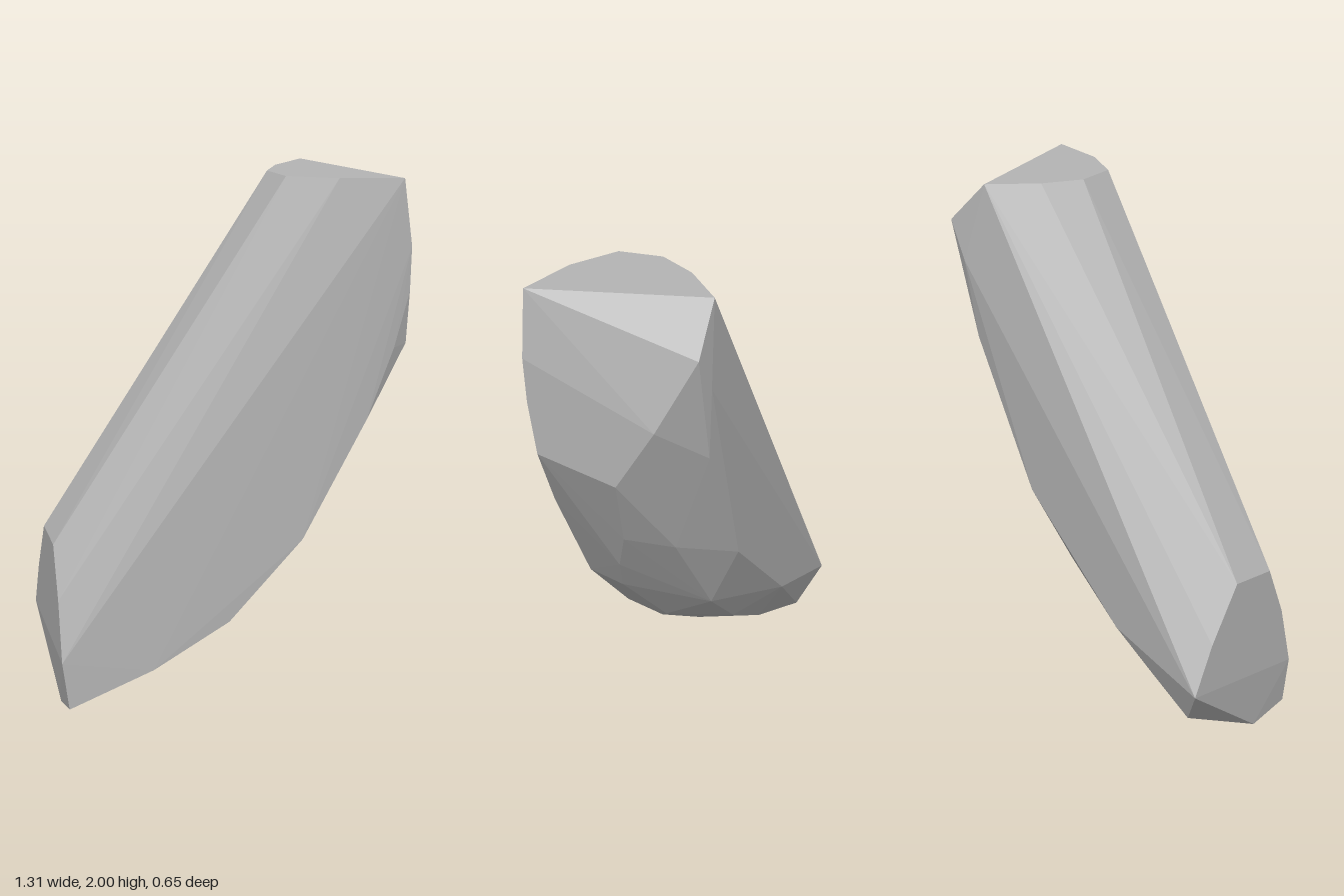
import * as THREE from 'three';
import { ConvexGeometry } from 'three/addons/geometries/ConvexGeometry.js';

export function createModel() {
  const group = new THREE.Group();
  const stoneGrey = new THREE.MeshStandardMaterial({ color: 0xb4b4b4 });
  stoneGrey.name = 'stone grey';

  // Corners of each facet loop of the leaning, faceted shard
  const topCut = [
    [0.195, 2, 0], [0.22, 2, 0.16], [0.39, 2, 0.265],
    [0.62, 2, 0.322], [0.415, 2, -0.295], [0.27, 2, -0.145],
  ];
  const rightEnd = [
    [0.655, 1.75, 0.318], [0.655, 1.58, 0.307], [0.655, 1.38, 0.275],
    [0.655, 1.32, -0.03], [0.655, 1.57, -0.18],
  ];
  const leftEnd = [
    [-0.655, 0.66, -0.095], [-0.655, 0.645, 0.095], [-0.655, 0.45, 0.175],
    [-0.655, 0.22, 0.23], [-0.655, 0.28, -0.322], [-0.655, 0.46, -0.23],
  ];
  const frontEdge = [
    [0.6, 1.37, 0.302], [0.5, 1.1, 0.298], [0.26, 0.65, 0.287],
    [-0.02, 0.34, 0.268], [-0.31, 0.17, 0.255], [-0.63, 0.035, 0.23],
  ];
  const keel = [
    [0.5, 1.0, 0.02], [0.4, 0.81, 0.09], [0.3, 0.65, 0.13], [0.06, 0.38, 0.06],
    [-0.03, 0.3, 0.12], [-0.32, 0.11, 0.09], [-0.5, 0.04, 0.09], [-0.63, 0, 0.055],
  ];
  const backSlope = [
    [0.4, 0.95, -0.14], [0.12, 0.54, -0.16], [-0.12, 0.32, -0.15],
    [-0.32, 0.2, -0.18], [-0.56, 0.13, -0.25],
  ];
  const backEdge = [
    [0.58, 1.84, -0.312], [0.5, 1.7, -0.325], [0.46, 1.4, -0.3],
    [0.19, 0.85, -0.3], [-0.25, 0.42, -0.305],
  ];

  const corners = [topCut, rightEnd, leftEnd, frontEdge, keel, backSlope, backEdge]
    .flat().map((p) => new THREE.Vector3(...p));
  const shard = new THREE.Mesh(new ConvexGeometry(corners), stoneGrey);
  shard.name = 'stoneShard';
  group.add(shard);
  return group;
}
